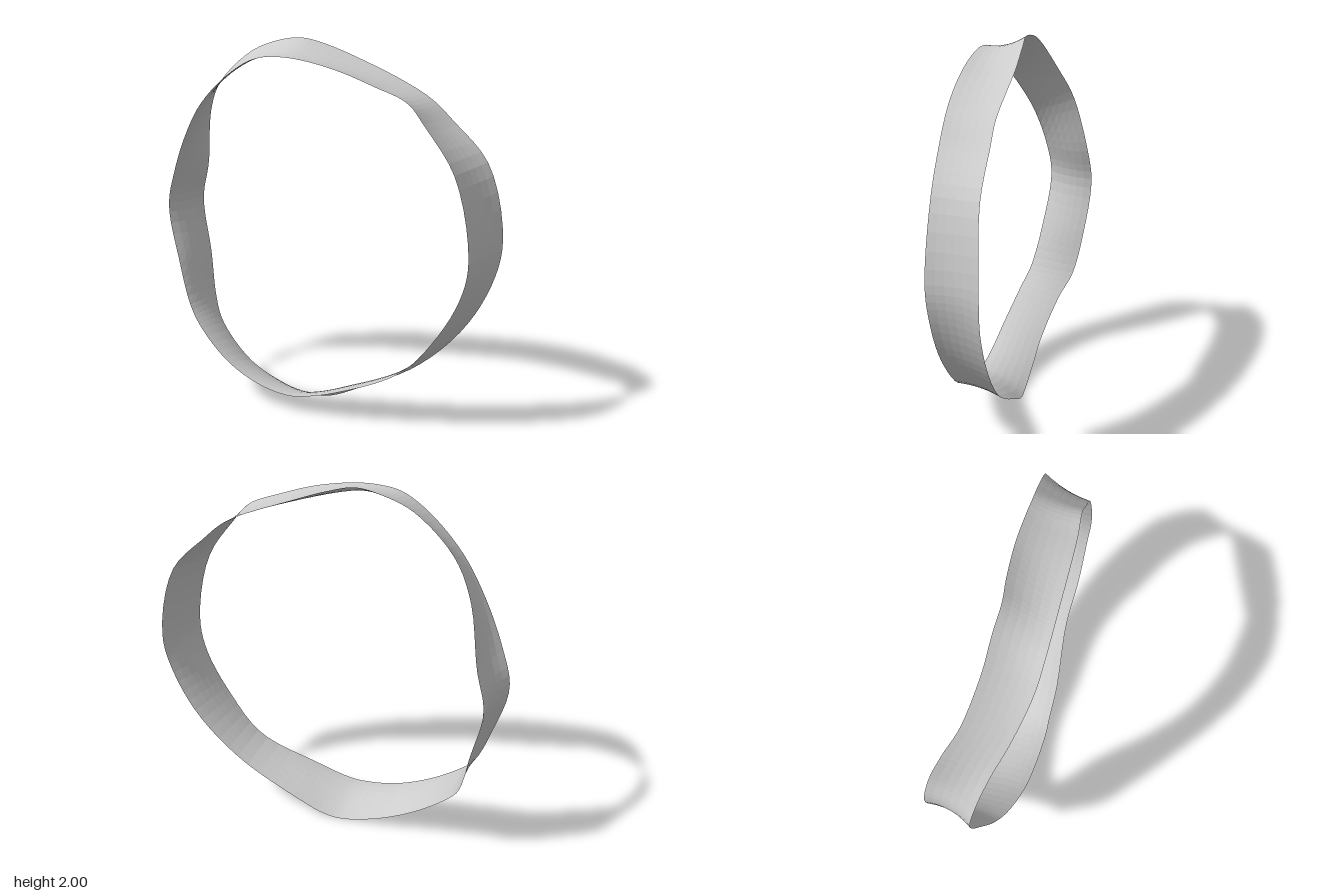
import * as THREE from 'three';

const STEPS = 120; // segments around the loop
const ROWS = 6;    // segments across the band

// closed smooth rim through a few points
const rim = (pts) => new THREE.CatmullRomCurve3(
  pts.map((p) => new THREE.Vector3(...p)), true, 'centripetal');

// the two rims share their point order, so equal parameters lie opposite each other
const frontRim = rim([
  [0.895, 1.0, 0.03], [0.81, 1.4, 0.035], [0.65, 1.64, 0.065], [0.56, 1.745, 0.08],
  [0.4, 1.815, 0.125], [0.2, 1.885, 0.17], [0, 1.925, 0.21], [-0.13, 1.93, 0.235],
  [-0.25, 1.91, 0.255], [-0.4, 1.82, 0.27], [-0.6, 1.65, 0.25], [-0.75, 1.46, 0.21],
  [-0.87, 1.23, 0.18], [-0.93, 1.02, 0.17], [-0.85, 0.72, 0.19], [-0.75, 0.48, 0.22],
  [-0.65, 0.37, 0.245], [-0.45, 0.22, 0.26], [-0.25, 0.13, 0.245], [-0.07, 0.1, 0.22],
  [0.02, 0.11, 0.2], [0.2, 0.165, 0.165], [0.53, 0.32, 0.07], [0.73, 0.55, 0.05],
  [0.86, 0.8, 0.03],
]);
const backRim = rim([
  [0.93, 1.03, -0.27], [0.85, 1.42, -0.24], [0.66, 1.63, -0.2], [0.55, 1.73, -0.175],
  [0.4, 1.81, -0.15], [0.21, 1.89, -0.115], [0, 1.97, -0.06], [-0.13, 2.0, -0.02],
  [-0.27, 1.98, 0], [-0.43, 1.915, 0.025], [-0.65, 1.735, 0.02], [-0.77, 1.55, -0.03],
  [-0.85, 1.23, -0.09], [-0.905, 1.01, -0.1], [-0.84, 0.7, -0.08], [-0.78, 0.46, -0.04],
  [-0.69, 0.33, 0.01], [-0.48, 0.15, 0.03], [-0.28, 0.05, 0], [-0.09, 0.002, -0.04],
  [0.02, 0.015, -0.07], [0.2, 0.1, -0.11], [0.51, 0.28, -0.17], [0.75, 0.53, -0.225],
  [0.89, 0.8, -0.255],
]);

// point on the band: u runs around the loop, v from the front rim to the back rim
function bandPoint(u, v) {
  const p = frontRim.getPoint(u).lerp(backRim.getPoint(u), v);
  const a = Math.atan2(p.y - 1, p.x);
  // the middle is drawn inward, making a shallow saddle section
  const sag = (0.018 + 0.008 * Math.cos(4 * a)) * 4 * v * (1 - v);
  p.x -= sag * Math.cos(a);
  p.y -= sag * Math.sin(a);
  return p;
}

export function createModel() {
  const positions = [];
  const indices = [];
  for (let i = 0; i < STEPS; i++) {
    for (let j = 0; j <= ROWS; j++) {
      const p = bandPoint(i / STEPS, j / ROWS);
      positions.push(p.x, p.y, p.z);
    }
  }
  // join neighbouring cross-sections, wrapping at the end
  const at = (i, j) => (i % STEPS) * (ROWS + 1) + j;
  for (let i = 0; i < STEPS; i++) {
    for (let j = 0; j < ROWS; j++) {
      const a = at(i, j), b = at(i + 1, j), c = at(i + 1, j + 1), d = at(i, j + 1);
      indices.push(a, b, d, b, c, d);
    }
  }
  const geometry = new THREE.BufferGeometry();
  geometry.setAttribute('position', new THREE.Float32BufferAttribute(positions, 3));
  geometry.setIndex(indices);
  geometry.computeVertexNormals();

  const band = new THREE.Mesh(geometry, new THREE.MeshStandardMaterial({
    color: 0xcccccc, flatShading: true, side: THREE.DoubleSide,
  }));
  band.name = 'band';

  const group = new THREE.Group();
  group.name = 'wavyRing';
  group.add(band);
  return group;
}
